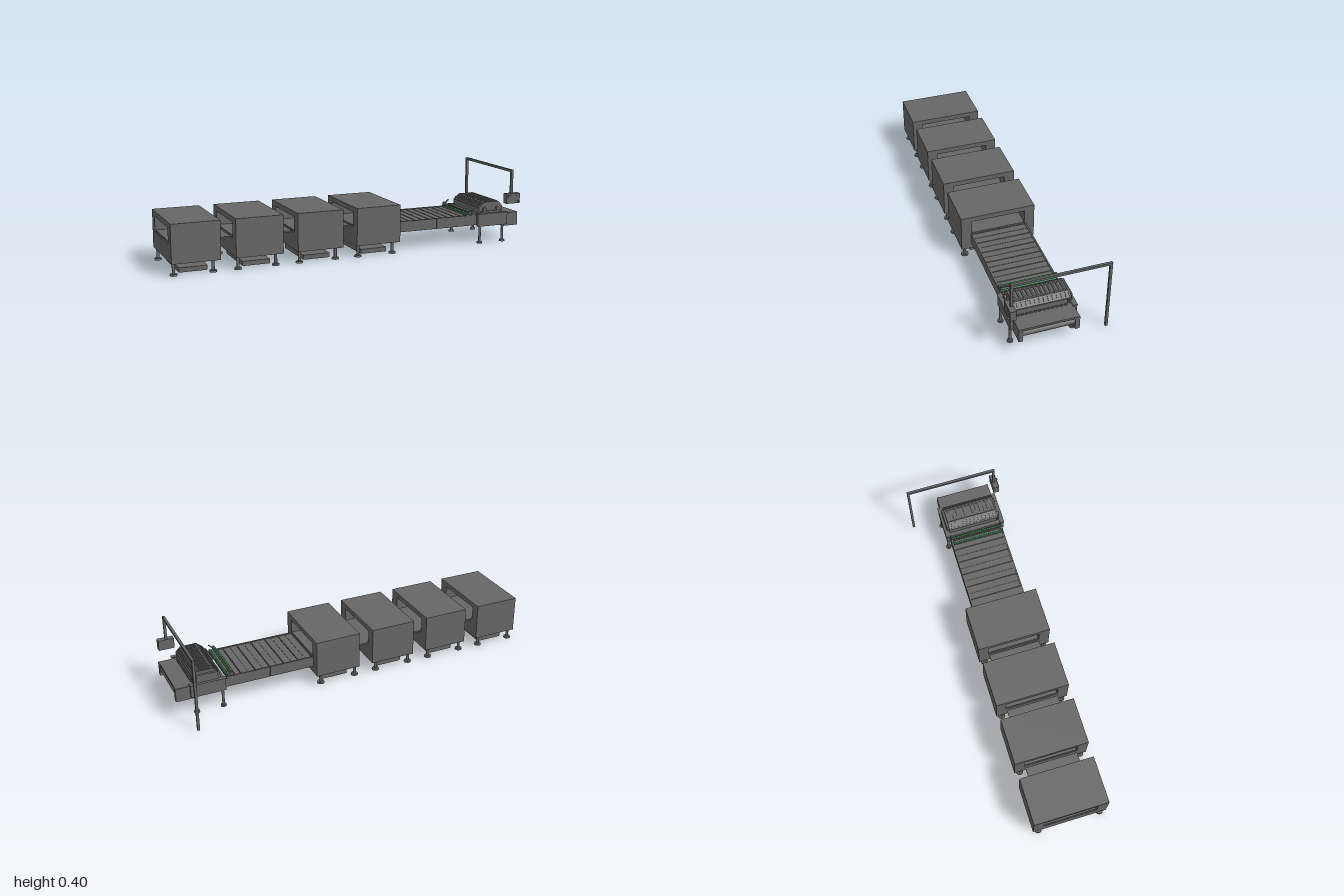
import * as THREE from 'three';

const grey = new THREE.MeshStandardMaterial({ color: 0x666666 });
grey.name = 'machine grey';
const green = new THREE.MeshStandardMaterial({ color: 0x2c7a3c });
green.name = 'green';

const ZC = 0.062; // centre line of the production line

function add(parent, name, geometry, material = grey) {
  const mesh = new THREE.Mesh(geometry, material);
  mesh.name = name;
  parent.add(mesh);
  return mesh;
}

// Box given by its limits on each axis
function block(parent, name, x0, x1, y0, y1, z0, z1, material) {
  const g = new THREE.BoxGeometry(x1 - x0, y1 - y0, z1 - z0);
  g.translate((x0 + x1) / 2, (y0 + y1) / 2, (z0 + z1) / 2);
  return add(parent, name, g, material);
}

// Round bar running across the line, along z
function crossBar(parent, name, x, y, r, z0, z1, material) {
  const g = new THREE.CylinderGeometry(r, r, z1 - z0, 20);
  g.rotateX(Math.PI / 2).translate(x, y, (z0 + z1) / 2);
  return add(parent, name, g, material);
}

// Round leg on a levelling foot
function leg(parent, x, z, top, r, footR) {
  const g = new THREE.Group();
  g.name = 'leg';
  add(g, 'legPost', new THREE.CylinderGeometry(r, r, top - 0.008, 16).translate(0, (top + 0.008) / 2, 0));
  add(g, 'footPad', new THREE.CylinderGeometry(footR * 0.9, footR, 0.009, 20).translate(0, 0.0045, 0));
  g.position.set(x, 0, z);
  parent.add(g);
}

// Oven-like cabinet with a tunnel through it, belt, tray and four legs
function cabinet(index) {
  const g = new THREE.Group();
  g.name = 'tunnelCabinet' + (index + 1);
  const w = 0.25;
  const outline = new THREE.Shape();
  outline.moveTo(-0.265, 0.063).lineTo(0.138, 0.063).lineTo(0.138, 0.264).lineTo(-0.265, 0.264).closePath();
  const slot = new THREE.Path();
  slot.moveTo(-0.207, 0.154).lineTo(-0.207, 0.236).lineTo(0.083, 0.236).lineTo(0.083, 0.154).closePath();
  outline.holes.push(slot);
  add(g, 'housing', new THREE.ExtrudeGeometry(outline, { depth: w, bevelEnabled: false }).rotateY(Math.PI / 2));
  block(g, 'belt', 0.004, index < 3 ? 0.317 : w, 0.156, 0.164, -0.082, 0.204);
  // Shallow tray, open underneath
  block(g, 'trayTop', 0.05, 0.196, 0.015, 0.027, -0.08, 0.204);
  for (const x of [0.05, 0.188]) block(g, 'trayWall', x, x + 0.008, 0.003, 0.015, -0.08, 0.204);
  for (const z of [-0.08, 0.196]) block(g, 'trayWall', 0.058, 0.188, 0.003, 0.015, z, z + 0.008);
  for (const x of [0.015, 0.215]) for (const z of [-0.104, 0.239]) leg(g, x, z, 0.063, 0.008, 0.02);
  g.position.x = -0.996 + index * 0.3285;
  return g;
}

// Slatted conveyor between the cabinets and the head unit
function conveyor() {
  const g = new THREE.Group();
  g.name = 'conveyor';
  for (const [x0, x1] of [[0.23, 0.484], [0.487, 0.735]]) {
    block(g, 'backRail', x0, x1, 0.102, 0.16, -0.091, -0.083);
    block(g, 'frontRail', x0, x1, 0.102, 0.16, 0.205, 0.213);
  }
  const pitch = 0.08;
  for (let i = 0; i < 6; i++) {
    const x = 0.246 + i * pitch;
    block(g, 'plate', x, x + pitch - 0.004, 0.149, 0.156, -0.083, 0.205);
    block(g, 'slatEdge', x + 0.036, x + 0.039, 0.156, 0.158, -0.083, 0.205);
    block(g, 'crossBeam', x - 0.008, x + 0.004, 0.132, 0.149, -0.083, 0.205);
    block(g, 'seamClip', x - 0.006, x + 0.002, 0.156, 0.159, ZC - 0.004, ZC + 0.004);
  }
  block(g, 'transferBar', 0.676, 0.724, 0.156, 0.163, -0.083, 0.208);
  for (const x of [0.682, 0.716]) crossBar(g, 'greenRoller', x, 0.165, 0.005, -0.08, 0.208, green);
  crossBar(g, 'guideRod', 0.699, 0.172, 0.004, -0.086, 0.21);
  // Sensor arms on both sides
  for (const z of [-0.086, 0.206]) {
    block(g, 'sensorPost', 0.694, 0.7, 0.16, 0.18, z - 0.004, z + 0.004);
    crossBar(g, 'sensor', 0.694, 0.174, 0.009, z - 0.006, z + 0.006);
    const arm = block(g, 'sensorArm', -0.016, 0.016, -0.003, 0.003, -0.003, 0.003);
    arm.position.set(0.709, 0.183, z);
    arm.rotation.z = 0.8;
  }
  return g;
}

// Head unit: frame, legs, infeed belt and rollers
function headUnit() {
  const g = new THREE.Group();
  g.name = 'headUnit';
  for (const [z0, z1] of [[-0.108, -0.09], [0.213, 0.231]]) {
    block(g, 'sideFrame', 0.735, 0.922, 0.095, 0.16, z0, z1);
    block(g, 'topFlange', 0.73, 0.925, 0.16, 0.166, z0 - 0.003, z1 + 0.003);
  }
  for (const [z0, z1] of [[-0.094, -0.07], [0.194, 0.214]]) {
    block(g, 'endCheek', 0.9, 0.998, 0.083, 0.157, z0, z1);
  }
  block(g, 'bed', 0.735, 0.996, 0.147, 0.158, -0.09, 0.213);
  block(g, 'crossPlate', 0.735, 0.742, 0.105, 0.147, -0.09, 0.213);
  block(g, 'endApron', 0.965, 0.97, 0.105, 0.147, -0.07, 0.194);
  crossBar(g, 'endRoller', 0.98, 0.122, 0.016, -0.07, 0.194);
  crossBar(g, 'driveRoller', 0.83, 0.12, 0.013, -0.09, 0.213);
  for (const x of [0.752, 0.896]) for (const z of [-0.099, 0.222]) leg(g, x, z, 0.1, 0.007, 0.016);
  return g;
}

// Ribbed hood on the head unit
function hood() {
  const g = new THREE.Group();
  g.name = 'hood';
  const profile = [[0.755, 0.164], [0.755, 0.198], [0.79, 0.226], [0.876, 0.226], [0.902, 0.2], [0.902, 0.164]];
  const shape = new THREE.Shape(profile.map(([x, y]) => new THREE.Vector2(x, y)));
  for (const x of [0.79, 0.865]) {
    const hole = new THREE.Path();
    hole.absarc(x, 0.192, 0.006, 0, Math.PI * 2, true);
    shape.holes.push(hole);
  }
  for (const z of [-0.084, 0.197]) {
    add(g, 'endPlate', new THREE.ExtrudeGeometry(shape, { depth: 0.008, bevelEnabled: false }).translate(0, 0, z));
  }
  // Covers and ribs on the sloping and level faces
  for (let i = 1; i < 4; i++) {
    const [ax, ay] = profile[i], [bx, by] = profile[i + 1];
    const len = Math.hypot(bx - ax, by - ay);
    const side = new THREE.Group();
    side.name = 'coverSide';
    side.position.set((ax + bx) / 2, (ay + by) / 2, 0);
    side.rotation.z = Math.atan2(by - ay, bx - ax);
    block(side, 'cover', -len / 2, len / 2, -0.008, -0.004, -0.076, 0.197);
    for (const s of [-1, 1]) block(side, 'edgeStrip', s * len * 0.42 - 0.004, s * len * 0.42 + 0.004, -0.004, 0.001, -0.076, 0.197);
    for (let k = 0; k < 12; k++) {
      const z = -0.062 + k * 0.0223;
      block(side, 'rib', -len * 0.42, len * 0.42, -0.004, 0.001, z - 0.004, z + 0.004);
    }
    g.add(side);
  }
  block(g, 'rearSkirt', 0.757, 0.762, 0.16, 0.196, -0.076, 0.197);
  block(g, 'frontSkirt', 0.896, 0.901, 0.16, 0.194, -0.066, 0.197);
  for (let k = 0; k < 12; k++) block(g, 'tooth', 0.901, 0.907, 0.16, 0.167, -0.062 + k * 0.022, -0.05 + k * 0.022);
  // Side bearings and knobs
  for (const x of [0.785, 0.87]) crossBar(g, 'bearing', x, 0.186, 0.01, 0.205, 0.216);
  block(g, 'bearingRail', 0.765, 0.89, 0.166, 0.176, 0.205, 0.213);
  block(g, 'backBracket', 0.77, 0.885, 0.166, 0.208, -0.096, -0.084);
  return g;
}

// Overhead arm carrying the control box
function controlArm() {
  const g = new THREE.Group();
  g.name = 'controlArm';
  const x0 = 0.934, x1 = 0.947;
  block(g, 'post', x0, x1, 0, 0.403, -0.267, -0.254);
  block(g, 'overheadBar', x0, x1, 0.39, 0.403, -0.254, 0.227);
  block(g, 'hanger', x0, x1, 0.27, 0.404, 0.227, 0.24);
  block(g, 'controlBox', 0.9, 0.985, 0.216, 0.272, 0.222, 0.254);
  crossBar(g, 'stopButton', 0.975, 0.229, 0.005, 0.254, 0.266);
  block(g, 'panelPlate', 0.908, 0.962, 0.226, 0.264, 0.254, 0.257);
  return g;
}

export function createModel() {
  const model = new THREE.Group();
  model.name = 'productionLine';
  for (let i = 0; i < 4; i++) model.add(cabinet(i));
  model.add(conveyor(), headUnit(), hood(), controlArm());
  return model;
}
